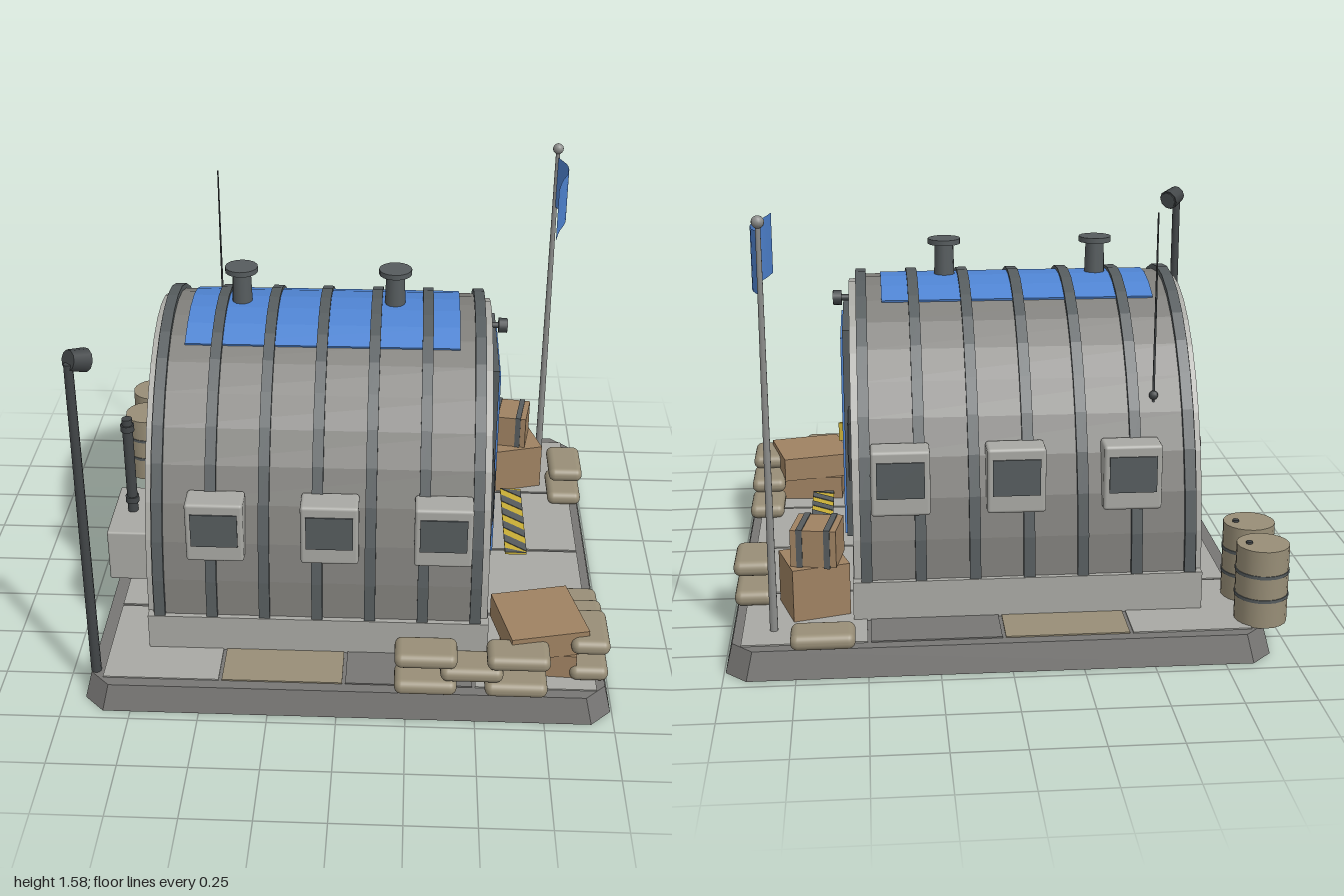
import * as THREE from 'three';
import { RoundedBoxGeometry } from 'three/addons/geometries/RoundedBoxGeometry.js';

const mat = (name, color, double = false) => {
  const m = new THREE.MeshStandardMaterial({ color });
  m.name = name;
  if (double) m.side = THREE.DoubleSide;
  return m;
};

export function createModel() {
  const root = new THREE.Group();
  root.name = 'arched field hut';
  const concrete = mat('concrete grey', 0x777674), light = mat('pale grey', 0xa9a9a4);
  const shell = mat('shell grey', 0x7f7e7a), slate = mat('slate', 0x565c5e);
  const dark = mat('dark metal', 0x424648), blue = mat('blue', 0x4f84d2, true);
  const yellow = mat('yellow', 0xc8ae36), wood = mat('crate brown', 0x9f8262);
  const tan = mat('canvas tan', 0x988e77), metal = mat('pole metal', 0x8c8d8b);

  const add = (name, geo, m, x = 0, y = 0, z = 0, parent = root) => {
    const mesh = new THREE.Mesh(geo, m);
    mesh.name = name;
    mesh.position.set(x, y, z);
    parent.add(mesh);
    return mesh;
  };
  // box given by its limits on each axis
  const box = (name, m, x0, x1, y0, y1, z0, z1, r = 0) => add(name,
    r ? new RoundedBoxGeometry(x1 - x0, y1 - y0, z1 - z0, 2, r) : new THREE.BoxGeometry(x1 - x0, y1 - y0, z1 - z0),
    m, (x0 + x1) / 2, (y0 + y1) / 2, (z0 + z1) / 2);
  // upright cylinder from y0 to y1
  const post = (name, m, x, z, y0, y1, r0, r1 = r0, n = 16) =>
    add(name, new THREE.CylinderGeometry(r1, r0, y1 - y0, n), m, x, (y0 + y1) / 2, z);

  // elliptical arch along x; with a thickness it is a band from angle t0 to t1
  const FLOOR = 0.24;
  const arch = (name, m, a, b, x0, x1, thick = 0, t0 = 0, t1 = Math.PI, n = 20) => {
    const pts = [];
    const sweep = (ra, rb, from, to) => {
      for (let i = 0; i <= n; i++) {
        const t = from + (to - from) * i / n;
        pts.push(new THREE.Vector2(ra * Math.cos(t), rb * Math.sin(t)));
      }
    };
    sweep(a, b, t0, t1);
    if (thick) sweep(a - thick, b - thick, t1, t0);
    const g = new THREE.ExtrudeGeometry(new THREE.Shape(pts), { depth: x1 - x0, bevelEnabled: false });
    g.rotateY(Math.PI / 2);
    return add(name, g, m, x0, FLOOR, 0);
  };

  // foundation slab with cut corners and sloped sides
  const h = 0.96, c = 0.075;
  const outline = [[-h + c, -h], [h - c, -h], [h, -h + c], [h, h - c], [h - c, h], [-h + c, h], [-h, h - c], [-h, -h + c]];
  const slab = new THREE.ExtrudeGeometry(new THREE.Shape(outline.map(p => new THREE.Vector2(...p))), { depth: 0.1, bevelEnabled: false });
  slab.rotateX(-Math.PI / 2);
  const sp = slab.attributes.position;
  for (let i = 0; i < sp.count; i++) {
    if (sp.getY(i) > 0.05) sp.setXYZ(i, sp.getX(i) * 0.975, sp.getY(i), sp.getZ(i) * 0.975);
  }
  slab.computeVertexNormals();
  add('foundation slab', slab, concrete, 0.035, 0, 0);

  // paving panels
  const px = [-0.86, -0.425, 0.025, 0.495, 0.945], pz = [-0.9, -0.45, 0, 0.45, 0.9];
  const paving = [light, tan, concrete, light];
  for (let i = 0; i < 4; i++) for (let j = 0; j < 4; j++) {
    box('paving panel', paving[i], px[i] + 0.006, px[i + 1] - 0.006, 0.095, 0.105, pz[j] + 0.006, pz[j + 1] - 0.006);
  }

  // hut body
  box('base wall', light, -0.71, 0.55, 0.1, 0.245, -0.71, 0.71);
  arch('arched shell', shell, 0.69, 0.966, -0.69, 0.52);
  arch('back end wall', light, 0.672, 0.948, -0.712, -0.688);
  arch('front end wall', light, 0.672, 0.948, 0.518, 0.546);
  for (let i = 0; i < 7; i++) {
    const x = -0.665 + i * 0.1942;
    arch('shell rib', slate, 0.706, 0.986, x - 0.02, x + 0.02, 0.035);
  }
  arch('roof stripe', blue, 0.698, 0.974, -0.59, 0.425, 0.008, Math.acos(0.227 / 0.698), Math.acos(-0.254 / 0.698), 5);

  // side windows in boxed frames
  for (const s of [-1, 1]) for (const x of [-0.45, -0.035, 0.375]) {
    const z = s * 0.65;
    box('side window frame', light, x - 0.105, x + 0.105, 0.49, 0.73, z - 0.055, z + 0.055, 0.012);
    box('side window pane', slate, x - 0.085, x + 0.085, 0.557, 0.69, s * 0.706 - 0.004, s * 0.706 + 0.004);
  }

  // door, end windows and lamp
  box('door frame top', slate, 0.54, 0.572, 1.02, 1.057, -0.253, 0.253);
  for (const s of [-1, 1]) {
    box('door frame side', slate, 0.54, 0.572, 0.245, 1.03, s * 0.238 - 0.015, s * 0.238 + 0.015);
    box('end window frame', dark, 0.54, 0.556, 0.573, 0.787, s * 0.435 - 0.108, s * 0.435 + 0.108);
    box('end window pane', slate, 0.552, 0.559, 0.582, 0.778, s * 0.435 - 0.099, s * 0.435 + 0.099);
  }
  box('door', blue, 0.54, 0.58, 0.247, 1.022, -0.224, 0.224);
  box('door handle', yellow, 0.578, 0.596, 0.6, 0.67, -0.16, -0.148);
  const lampDisc = (name, m, x, r, d) => { add(name, new THREE.CylinderGeometry(r, r, d, 14), m, x, 1.125, 0).rotation.z = Math.PI / 2; };
  lampDisc('door lamp neck', dark, 0.56, 0.012, 0.05);
  lampDisc('door lamp', dark, 0.59, 0.029, 0.032);
  lampDisc('door lamp lens', light, 0.606, 0.025, 0.004);

  // striped threshold plate
  box('threshold plate', yellow, 0.63, 0.715, 0.243, 0.251, -0.24, 0.24);
  const clampZ = z => Math.max(-0.24, Math.min(0.24, z));
  for (let i = 0; i < 6; i++) {
    const z = -0.29 + i * 0.1;
    const s = new THREE.Shape([[0.63, z], [0.715, z + 0.07], [0.715, z + 0.12], [0.63, z + 0.05]].map(p => new THREE.Vector2(p[0], -clampZ(p[1]))));
    const g = new THREE.ExtrudeGeometry(s, { depth: 0.003, bevelEnabled: false });
    add('threshold stripe', g.rotateX(-Math.PI / 2), slate, 0, 0.251, 0);
  }

  // roof chimneys and antenna
  for (const x of [-0.4, 0.18]) {
    post('chimney pipe', slate, x, 0, 1.17, 1.335, 0.04, 0.035, 12);
    post('chimney cap', slate, x, 0, 1.33, 1.35, 0.062, 0.062, 16);
  }
  post('antenna', dark, -0.545, -0.535, 0.83, 1.53, 0.005, 0.003, 6);
  add('antenna foot', new THREE.SphereGeometry(0.017, 10, 8), dark, -0.545, 0.865, -0.535);

  // louvred vent on the back wall
  box('vent frame', dark, -0.727, -0.705, 0.71, 0.945, -0.11, 0.11);
  for (let i = 0; i < 5; i++) {
    add('vent slat', new THREE.BoxGeometry(0.036, 0.006, 0.2), slate, -0.735, 0.735 + i * 0.046, 0).rotation.z = 0.9;
  }

  // wall mounted generator and exhaust
  box('generator box', light, -0.885, -0.7, 0.26, 0.47, 0.17, 0.5, 0.008);
  post('exhaust pipe', dark, -0.81, 0.335, 0.465, 0.87, 0.02);
  for (const y of [0.51, 0.82]) post('exhaust collar', dark, -0.81, 0.335, y, y + 0.025, 0.026);

  // floodlight post
  post('floodlight post', dark, -0.885, 0.85, 0.1, 1.36, 0.019, 0.016, 10);
  const flood = new THREE.Group();
  flood.name = 'floodlight';
  flood.position.set(-0.862, 1.36, 0.82);
  flood.quaternion.setFromUnitVectors(new THREE.Vector3(0, 1, 0), new THREE.Vector3(0.68, -0.3, -0.68).normalize());
  root.add(flood);
  add('floodlight housing', new THREE.CylinderGeometry(0.042, 0.036, 0.07, 10), dark, 0, 0, 0, flood);
  add('floodlight lens', new THREE.CylinderGeometry(0.035, 0.035, 0.004, 10), slate, 0, 0.036, 0, flood);

  // fuel barrels
  for (const z of [-0.8, -0.585]) {
    post('barrel', tan, -0.905, z, 0.1, 0.388, 0.094, 0.094, 20);
    for (const y of [0.195, 0.285]) post('barrel band', slate, -0.905, z, y, y + 0.012, 0.097, 0.097, 20);
    post('barrel bung', dark, -0.855, z, 0.385, 0.396, 0.012, 0.012, 10);
  }

  // crates, some with straps
  const crate = (x, z, y0, y1, w, d, turn, straps) => {
    const g = new THREE.Group();
    g.name = 'crate';
    g.position.set(x, (y0 + y1) / 2, z);
    g.rotation.y = turn;
    root.add(g);
    add('crate body', new THREE.BoxGeometry(w, y1 - y0, d), wood, 0, 0, 0, g);
    if (straps) for (const s of [-1, 1]) {
      add('crate strap', new THREE.BoxGeometry(0.022, y1 - y0 + 0.008, d + 0.008), slate, s * w * 0.3, 0, 0, g);
    }
  };
  crate(0.69, -0.585, 0.1, 0.3, 0.21, 0.21, 0.28, false);
  crate(0.675, -0.6, 0.3, 0.437, 0.165, 0.17, -0.16, true);
  crate(0.735, 0.69, 0.1, 0.2, 0.28, 0.26, -0.06, false);
  crate(0.735, 0.695, 0.2, 0.297, 0.29, 0.29, 0.23, false);

  // sandbags: x, row, z, and whether the bag lies along z
  const bags = [
    [0.32, 0, 0.89, 0], [0.645, 0, 0.89, 0], [0.485, 1, 0.885, 0], [0.32, 2, 0.89, 0], [0.65, 2, 0.89, 0],
    [0.913, 0, 0.437, 1], [0.913, 0, 0.74, 1], [0.913, 1, 0.595, 1], [0.913, 2, 0.74, 1],
    [0.913, 0, -0.46, 1], [0.913, 2, -0.46, 1], [0.655, 0, -0.895, 0],
  ];
  const bagGeo = new RoundedBoxGeometry(0.225, 0.058, 0.14, 3, 0.027);
  for (const [x, row, z, along] of bags) {
    add('sandbag', bagGeo, tan, x, 0.132 + row * 0.058, z).rotation.y = along * Math.PI / 2;
  }

  // flagpole with a waving plain flag
  post('flagpole', metal, 0.83, -0.775, 0.1, 1.55, 0.015, 0.009, 10);
  add('flagpole ball', new THREE.SphereGeometry(0.022, 14, 10), metal, 0.83, 1.56, -0.775);
  const wave = new THREE.CatmullRomCurve3([[0.832, -0.765], [0.862, -0.68], [0.862, -0.6], [0.828, -0.49], [0.808, -0.395]]
    .map(p => new THREE.Vector3(p[0], 0, p[1])));
  const flag = new THREE.PlaneGeometry(1, 0.215, 14, 1), fp = flag.attributes.position;
  for (let i = 0; i < fp.count; i++) {
    const p = wave.getPoint(fp.getX(i) + 0.5);
    fp.setXYZ(i, p.x, fp.getY(i), p.z);
  }
  flag.computeVertexNormals();
  add('flag', flag, blue, 0, 1.417, 0);

  return root;
}
